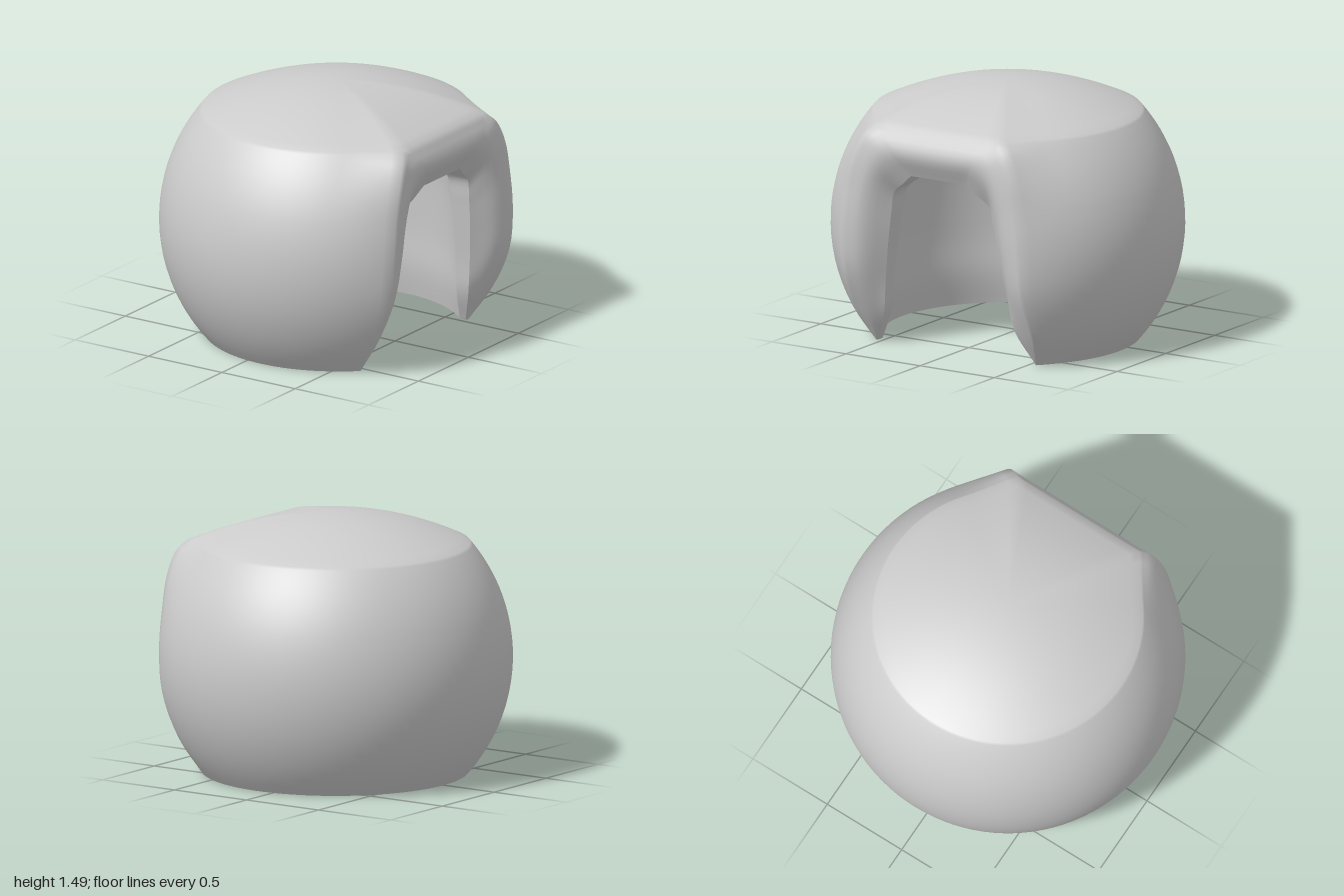
import * as THREE from 'three';
import { mergeGeometries, mergeVertices } from 'three/addons/utils/BufferGeometryUtils.js';

const AXIS = 0.1;               // x of the dome's vertical axis
const SIDE = 28, TOP = 12, AROUND = 80;
const V = (x, y, z) => new THREE.Vector3(x, y, z);

// Surface through rows of points
function grid(rows, flip) {
  const n = rows[0].length, index = [];
  for (let i = 0; i < rows.length - 1; i++) {
    for (let j = 0; j < n - 1; j++) {
      const a = i * n + j, b = a + 1, c = a + n, d = c + 1;
      if (flip) index.push(a, d, b, a, c, d);
      else index.push(a, b, d, a, d, c);
    }
  }
  const g = new THREE.BufferGeometry().setFromPoints(rows.flat());
  g.setIndex(index);
  return g;
}

// Upside-down U around the doorway, from [y, x, z] keys up one jamb
function doorLoop(keys) {
  const curve = new THREE.CatmullRomCurve3(keys.map(([y, x, z]) => V(x, y, z)));
  const left = [];
  for (let i = 0; i <= SIDE; i++) left.push(curve.getPoint(i / SIDE));
  const right = left.map(p => V(p.x, p.y, -p.z)).reverse();
  const lintel = [];
  for (let i = 1; i < TOP; i++) lintel.push(left[SIDE].clone().lerp(right[0], i / TOP));
  return [...left, ...lintel, ...right];
}

// Wall rows sweeping round the back from one jamb to the other
function wallRows(loop, radius) {
  return loop.slice(0, SIDE + 1).map(p => {
    const a0 = Math.atan2(p.z, p.x - AXIS), edge = Math.hypot(p.z, p.x - AXIS);
    const r = radius ? radius(p.y) : edge, row = [];
    for (let j = 0; j <= AROUND; j++) {
      const a = a0 + (2 * Math.PI - 2 * a0) * j / AROUND;
      const w = Math.max(0, 1 - Math.min(a - a0, 2 * Math.PI - a0 - a) / 0.4) ** 2;
      const rr = r + (edge - r) * w;
      row.push(j === 0 ? p.clone() : j === AROUND ? V(p.x, p.y, -p.z)
        : V(AXIS + rr * Math.cos(a), p.y, rr * Math.sin(a)));
    }
    return row;
  });
}

// Shallow cap closing the top of a wall, at height yMid in the middle
function capRows(wall, loop, yMid) {
  const base = [...wall[SIDE], ...loop.slice(SIDE, SIDE + TOP).reverse()];
  const rows = [];
  for (let i = 0; i <= 14; i++) {
    const s = 1 - i / 14;
    rows.push(base.map(p => V(AXIS + (p.x - AXIS) * s, yMid + (p.y - yMid) * s * s, p.z * s)));
  }
  return rows;
}

export function createModel() {
  const group = new THREE.Group();
  const material = new THREE.MeshStandardMaterial({ color: 0xcccccc, side: THREE.DoubleSide });
  const add = (name, ...parts) => {
    const g = mergeVertices(mergeGeometries(parts), 1e-4);
    g.computeVertexNormals();
    const mesh = new THREE.Mesh(g, material);
    mesh.name = name;
    group.add(mesh);
  };

  // Doorway loops, from the outside of the frame to the inner wall
  const outer = doorLoop([[0, 0.63, 0.54], [0.2, 0.755, 0.6], [0.45, 0.868, 0.605], [0.7, 0.895, 0.6],
    [0.95, 0.893, 0.57], [1.12, 0.89, 0.53], [1.25, 0.87, 0.47], [1.31, 0.83, 0.41]]);
  const ridge = doorLoop([[0, 0.63, 0.535], [0.2, 0.745, 0.52], [0.45, 0.84, 0.5], [0.7, 0.875, 0.48],
    [0.93, 0.885, 0.45], [1.06, 0.885, 0.4], [1.14, 0.885, 0.34], [1.18, 0.885, 0.27]]);
  const edge = doorLoop([[0, 0.62, 0.53], [0.2, 0.7, 0.44], [0.4, 0.73, 0.41], [0.65, 0.76, 0.37],
    [0.8, 0.77, 0.345], [0.92, 0.78, 0.32], [0.98, 0.8, 0.25], [1.04, 0.82, 0.18]]);
  const inner = doorLoop([[0, 0.58, 0.53], [0.2, 0.62, 0.44], [0.4, 0.64, 0.41], [0.65, 0.65, 0.37],
    [0.8, 0.65, 0.345], [0.92, 0.64, 0.32], [0.98, 0.64, 0.25], [1.04, 0.62, 0.18]]);

  // Outer dome with its rounded door frame
  const outerWall = wallRows(outer, y => Math.sqrt(1 - (y - 0.66) ** 2));
  const frameRows = Array.from({ length: 9 }, () => []);
  outer.forEach((p, j) => {
    const across = new THREE.CatmullRomCurve3([p, ridge[j], edge[j]]);
    frameRows.forEach((row, i) => row.push(across.getPoint(i / 8)));
  });
  add('domeShell', grid(outerWall, true), grid(capRows(outerWall, outer, 1.485), true), grid(frameRows, true));

  // Passage through the wall thickness
  add('doorReveal', grid([edge, inner], true));

  // Inner wall and sagging ceiling
  const innerWall = wallRows(inner);
  add('innerWall', grid(innerWall, false), grid(capRows(innerWall, inner, 0.86), false));

  // Underside of the wall
  add('baseRim', grid([outerWall[0], innerWall[0]], false));
  return group;
}
